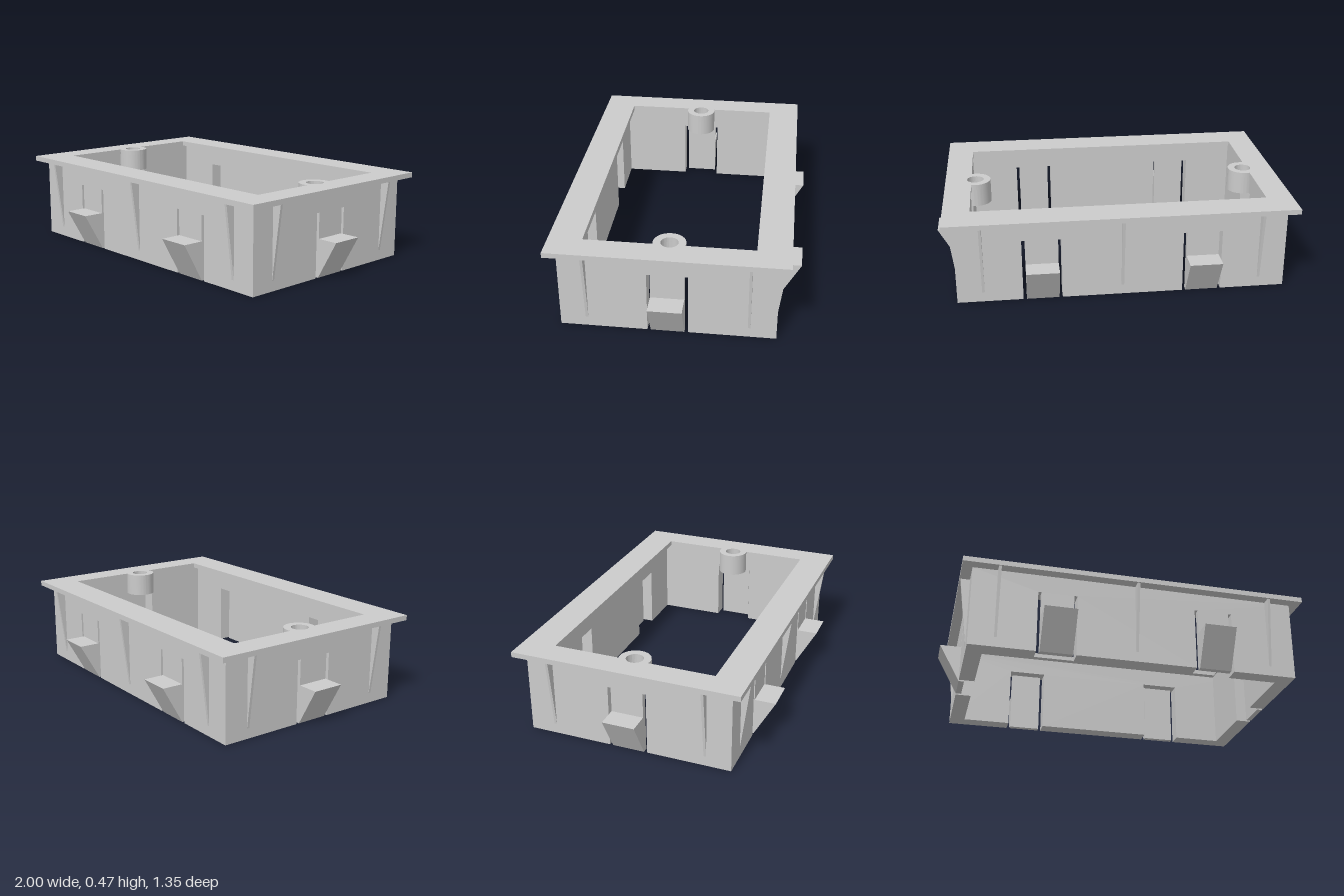
import * as THREE from 'three';
import { toCreasedNormals } from 'three/addons/utils/BufferGeometryUtils.js';

const mat = new THREE.MeshStandardMaterial({ color: 0xcccccc });
const W = 0.885, D = 0.56;            // outer half sizes of the walls
const SKIN = 0.03, THICK = 0.085;     // thin outer layer, full wall thickness
const RIM_Y = 0.445, TOP = 0.473;
const TAB = 0.0875, SLOT = 0.105, SLOT_TOP = 0.345;
const BOSS_X = 0.773, BOSS_R = 0.085, HOLE_R = 0.046;

function add(parent, name, geometry) {
  const mesh = new THREE.Mesh(geometry, mat);
  mesh.name = name;
  parent.add(mesh);
  return mesh;
}

const extrude = (shape, depth) =>
  new THREE.ExtrudeGeometry(shape, { depth, bevelEnabled: false, curveSegments: 40 });

// Upright panel whose lower edge is cut by notches [x0, x1, height], left to right
function panel(half, notches) {
  const s = new THREE.Shape().moveTo(-half, 0);
  for (const [a, b, h] of notches) s.lineTo(a, 0).lineTo(a, h).lineTo(b, h).lineTo(b, 0);
  return s.lineTo(half, 0).lineTo(half, RIM_Y).lineTo(-half, RIM_Y);
}

// Profile drawn as (outward, up), extruded across the wall and centred on x = 0
function crossPiece(points, width) {
  const shape = new THREE.Shape(points.map(([o, y]) => new THREE.Vector2(o, y)));
  return extrude(shape, width).translate(0, 0, -width / 2).rotateY(-Math.PI / 2);
}

// One side of the frame, facing local +z
function wall(name, dist, half, clips, ribs, innerPanel) {
  const g = new THREE.Group();
  g.name = name;
  const slots = clips.flatMap(c => [
    [c - SLOT, c - TAB, SLOT_TOP], [c + TAB, c + SLOT, SLOT_TOP]]);
  add(g, 'outerWall', extrude(panel(half, slots), SKIN)).position.z = dist - SKIN;
  add(g, 'innerWall', extrude(innerPanel, THICK - SKIN)).position.z = dist - THICK;
  for (const c of clips)
    add(g, 'snapClip', crossPiece([[0, 0], [0.115, 0.207], [0, 0.207]], TAB * 2)).position.set(c, 0, dist);
  for (const r of ribs)
    add(g, 'taperedRib', crossPiece([[0, 0.055], [0.05, RIM_Y], [0, RIM_Y]], 0.014)).position.set(r, 0, dist);
  return g;
}

// Flat rim: the opening bulges around the two screw bosses
function rimShape() {
  const x = 0.94, z = 0.617, ox = 0.795, oz = 0.44;
  const s = new THREE.Shape().moveTo(-x, -z).lineTo(x, -z).lineTo(x, z).lineTo(-x, z);
  const a = Math.acos((ox - BOSS_X) / BOSS_R), e = BOSS_R * Math.sin(a);
  const opening = new THREE.Path().moveTo(-ox, -oz).lineTo(ox, -oz).lineTo(ox, -e);
  opening.absarc(BOSS_X, 0, BOSS_R, -a, a, true);
  opening.lineTo(ox, oz).lineTo(-ox, oz).lineTo(-ox, e);
  opening.absarc(-BOSS_X, 0, BOSS_R, Math.PI - a, Math.PI + a, true);
  opening.lineTo(-ox, -oz);
  s.holes.push(opening);
  for (const m of [-1, 1])
    s.holes.push(new THREE.Path().absarc(m * BOSS_X, 0, HOLE_R, 0, Math.PI * 2, true));
  return s;
}

export function createModel() {
  const model = new THREE.Group();
  model.name = 'mountingFrame';

  const rim = extrude(rimShape(), TOP - RIM_Y).rotateX(-Math.PI / 2);
  add(model, 'rim', toCreasedNormals(rim, 0.5)).position.y = RIM_Y;

  // Long walls: two clips and three ribs each
  const longClips = [-0.43, 0.43];
  const longInner = panel(W, longClips.map(c => [c - SLOT, c + SLOT, SLOT_TOP]));
  for (const [name, turn] of [['frontWall', 0], ['backWall', Math.PI]])
    model.add(wall(name, D, W, longClips, [-0.745, 0, 0.745], longInner)).children.at(-1).rotation.y = turn;

  // Short walls: one clip, two ribs, and a clearance above the pocket for the screw
  const shortHalf = D - THICK;
  const shortInner = new THREE.Shape([
    [-shortHalf, 0], [-SLOT, 0], [-SLOT, SLOT_TOP], [-HOLE_R, SLOT_TOP], [-HOLE_R, RIM_Y], [-shortHalf, RIM_Y],
  ].map(([x, y]) => new THREE.Vector2(x, y)));
  const mirrored = new THREE.Shape(shortInner.getPoints().map(p => new THREE.Vector2(-p.x, p.y)));
  for (const [name, turn] of [['leftWall', Math.PI / 2], ['rightWall', -Math.PI / 2]]) {
    const g = wall(name, W, shortHalf, [0], [-0.42, 0.42], [shortInner, mirrored]);
    // Close the outer skin at the corners, which the long walls overlap
    g.rotation.y = turn;
    model.add(g);
  }

  // Screw bosses hanging below the rim
  const ring = new THREE.Shape().absarc(0, 0, BOSS_R, 0, Math.PI * 2);
  ring.holes.push(new THREE.Path().absarc(0, 0, HOLE_R, 0, Math.PI * 2, true));
  const boss = toCreasedNormals(extrude(ring, RIM_Y - SLOT_TOP).rotateX(-Math.PI / 2), 0.5);
  for (const m of [-1, 1]) add(model, 'screwBoss', boss).position.set(m * BOSS_X, SLOT_TOP, 0);

  return model;
}
